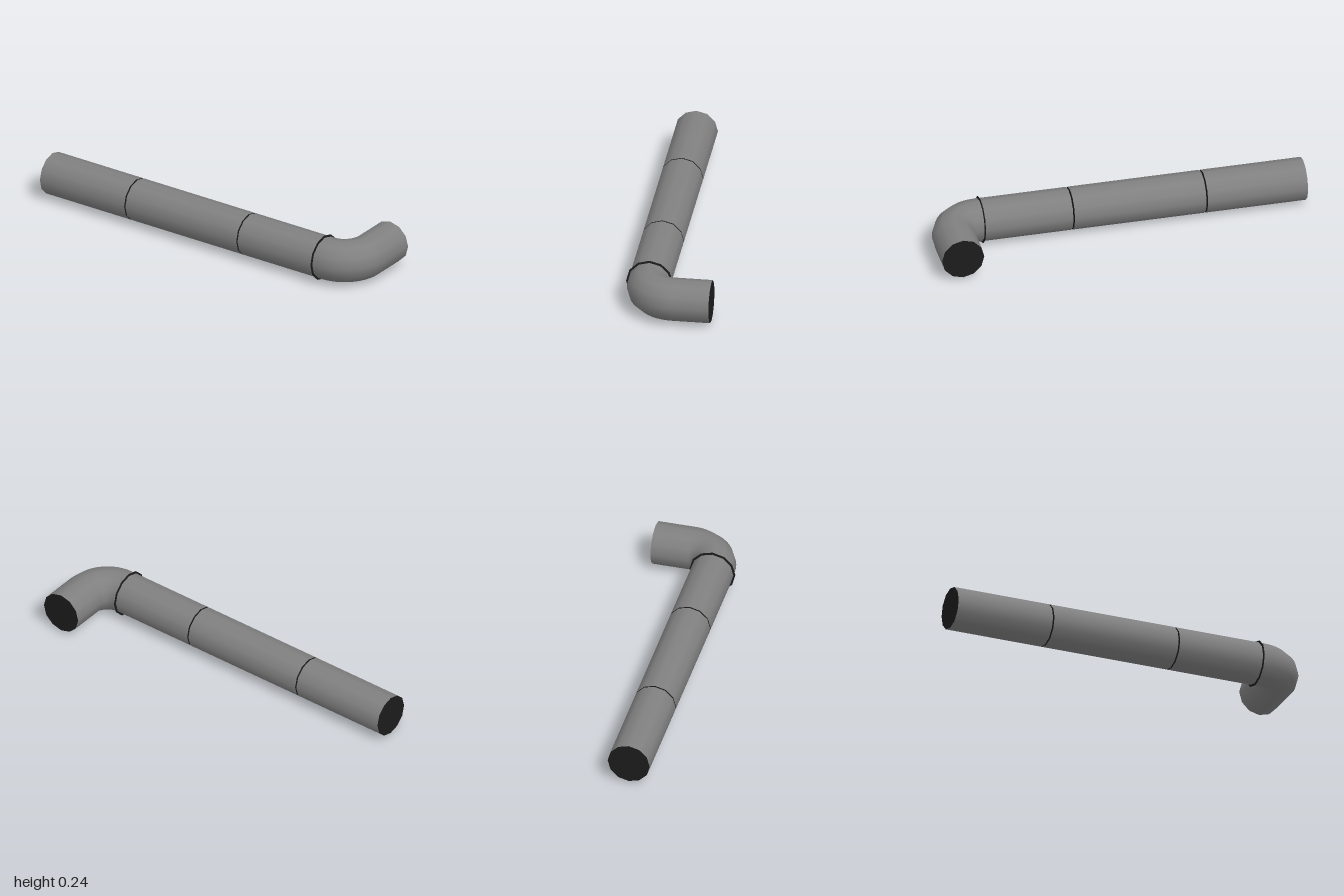
import * as THREE from 'three';

const SIDES = 12, R = 0.112, Y = 0.122, Z = 0.113;

export function createModel() {
  const group = new THREE.Group();
  const metal = new THREE.MeshStandardMaterial({ color: 0x808080 });
  const dark = new THREE.MeshStandardMaterial({ color: 0x1c1c1c });

  const add = (name, geometry, material) => {
    const mesh = new THREE.Mesh(geometry, material);
    mesh.name = name;
    group.add(mesh);
  };

  // Open cylinder lying along x
  const tubeX = (x0, x1) => new THREE.CylinderGeometry(R, R, x1 - x0, SIDES, 1, true)
    .rotateZ(Math.PI / 2).translate((x0 + x1) / 2, Y, Z);

  // Dark end disc facing along x
  const endCap = (name, x, dir) => add(name,
    new THREE.CircleGeometry(R, SIDES).rotateY(dir * Math.PI / 2).translate(x, Y, Z), dark);

  // Straight pipe sections separated by narrow gaps
  [[-1, -0.469], [-0.461, 0.238], [0.246, 0.715]].forEach(([x0, x1], i) => {
    add(`pipeSection${i + 1}`, tubeX(x0, x1), metal);
    endCap(`sectionStart${i + 1}`, x0, -1);
    endCap(`sectionEnd${i + 1}`, x1, 1);
  });

  // Thin collar where the elbow joins
  add('collar', new THREE.CylinderGeometry(0.122, 0.122, 0.005, SIDES)
    .rotateZ(Math.PI / 2).translate(0.715, Y, Z), dark);

  // Elbow: short neck, quarter bend, outlet leg towards the back
  const bend = 0.148, bx = 0.74, bz = Z - bend, backZ = -0.235;
  add('elbowNeck', tubeX(0.715, bx), metal);
  add('elbowBend', new THREE.TorusGeometry(bend, R, SIDES, 12, Math.PI / 2)
    .rotateX(Math.PI / 2).translate(bx, Y, bz), metal);
  add('elbowOutlet', new THREE.CylinderGeometry(R, R, bz - backZ, SIDES, 1, true)
    .rotateX(Math.PI / 2).translate(bx + bend, Y, (bz + backZ) / 2), metal);
  add('outletCap', new THREE.CircleGeometry(R, SIDES)
    .rotateY(Math.PI).translate(bx + bend, Y, backZ), dark);

  return group;
}
